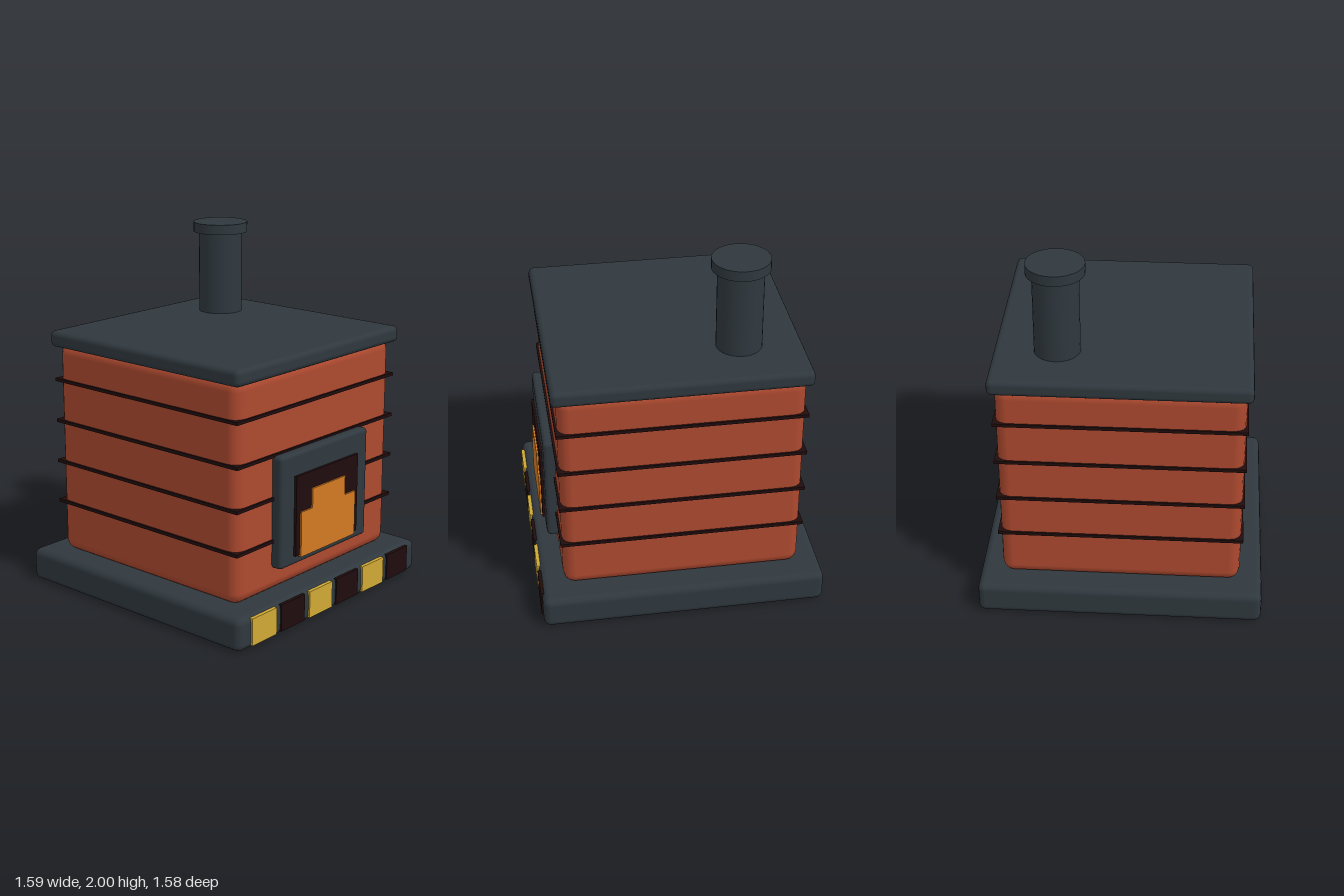
import * as THREE from 'three';
import { RoundedBoxGeometry } from 'three/addons/geometries/RoundedBoxGeometry.js';

const paint = (name, color) => Object.assign(new THREE.MeshStandardMaterial({ color }), { name });

export function createModel() {
  const slate = paint('slate', 0x2f383e);
  const brick = paint('brick red', 0xad492f);
  const soot = paint('soot black', 0x200c0d);
  const flame = paint('flame orange', 0xd27922);
  const yellow = paint('hazard yellow', 0xcfa835);

  const stove = new THREE.Group();
  stove.name = 'stove';

  const add = (name, geometry, material, x, y, z) => {
    const mesh = new THREE.Mesh(geometry, material);
    mesh.name = name;
    mesh.position.set(x, y, z);
    stove.add(mesh);
  };
  // Boxes are given by their [min, max] extents; a radius rounds the edges.
  const box = (name, material, [x0, x1], [y0, y1], [z0, z1], radius = 0) => {
    const size = [x1 - x0, y1 - y0, z1 - z0];
    const geometry = radius
      ? new RoundedBoxGeometry(...size, 2, radius)
      : new THREE.BoxGeometry(...size);
    add(name, geometry, material, (x0 + x1) / 2, (y0 + y1) / 2, (z0 + z1) / 2);
  };

  // Main masses
  box('base', slate, [-0.795, 0.785], [0.005, 0.19], [-0.79, 0.79], 0.04);
  box('body', brick, [-0.67, 0.657], [0.185, 1.41], [-0.664, 0.664], 0.065);
  box('roof', slate, [-0.70, 0.69], [1.385, 1.477], [-0.695, 0.695], 0.03);

  // Mortar bands around the body
  for (const y of [0.48, 0.718, 0.956, 1.195]) {
    box('mortarBand', soot, [-0.68, 0.669], [y - 0.009, y + 0.009], [-0.675, 0.675]);
  }

  // Chimney with cap
  add('chimneyPipe', new THREE.CylinderGeometry(0.125, 0.125, 0.52, 32), slate, -0.355, 1.7, -0.353);
  add('chimneyCap', new THREE.CylinderGeometry(0.157, 0.157, 0.057, 32), slate, -0.355, 1.9715, -0.353);

  // Firebox on the left side
  box('fireboxFrame', slate, [0.63, 0.72], [0.325, 0.955], [-0.378, 0.378], 0.022);
  box('fireboxOpening', soot, [0.70, 0.735], [0.38, 0.83], [-0.27, 0.27]);
  box('flameLower', flame, [0.715, 0.745], [0.37, 0.625], [-0.237, 0.237]);
  box('flameUpper', flame, [0.715, 0.745], [0.625, 0.735], [-0.143, 0.143]);

  // Alternating warning blocks along the base
  for (let i = 0; i < 6; i++) {
    const z = 0.597 - i * 0.2388;
    const lit = i % 2 === 0;
    box('warningBlock', lit ? yellow : soot, [0.77, lit ? 0.795 : 0.793], [0.025, 0.177], [z - 0.099, z + 0.099]);
  }
  return stove;
}
